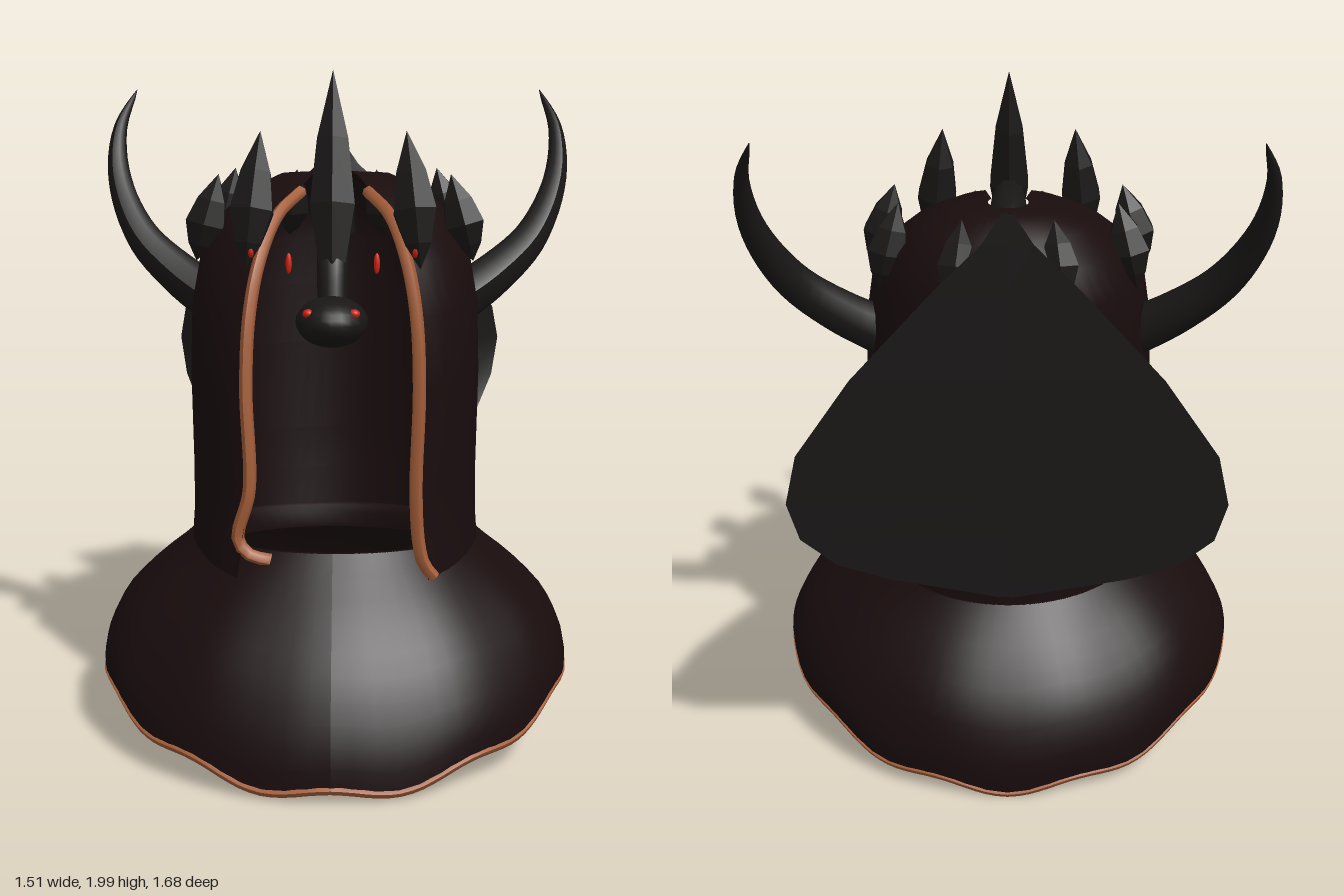
import * as THREE from 'three';

const V = (x, y, z) => new THREE.Vector3(x, y, z);
const mat = (color, flatShading = false) =>
  new THREE.MeshStandardMaterial({ color, flatShading, side: THREE.DoubleSide });

// Sheet of cols x rows cells; fn(u, row) gives each corner, u = 0..1 across
function sheet(cols, rows, fn) {
  const geo = new THREE.PlaneGeometry(1, 1, cols, rows);
  const pos = geo.attributes.position;
  for (let i = 0; i < pos.count; i++) {
    const p = fn((i % (cols + 1)) / cols, Math.floor(i / (cols + 1)));
    pos.setXYZ(i, p.x, p.y, p.z);
  }
  geo.computeVertexNormals();
  return geo;
}

// Tube along points whose radius follows radiusAt(t)
function taperTube(points, segments, sides, radiusAt, closed = false) {
  const curve = new THREE.CatmullRomCurve3(points, closed);
  const geo = new THREE.TubeGeometry(curve, segments, 1, sides, closed);
  const pos = geo.attributes.position;
  const p = V(0, 0, 0);
  for (let i = 0; i < pos.count; i++) {
    const t = Math.floor(i / (sides + 1)) / segments;
    const c = curve.getPointAt(t);
    p.fromBufferAttribute(pos, i).sub(c).multiplyScalar(radiusAt(t)).add(c);
    pos.setXYZ(i, p.x, p.y, p.z);
  }
  geo.computeVertexNormals();
  return geo;
}

export function createModel() {
  const model = new THREE.Group();
  const cloth = mat(0x190c0d);
  const black = mat(0x191716);
  const blackFlat = mat(0x191716, true);
  const copper = mat(0xa65f3a);
  const red = mat(0xd02010);

  const add = (name, geo, material) => {
    const mesh = new THREE.Mesh(geo, material);
    mesh.name = name;
    model.add(mesh);
    return mesh;
  };

  // Hood: [y, half width, back z, front z, half width of the front slit]
  const hoodRows = [
    [1.69, 0.06, -0.17, -0.03, 0.05], [1.685, 0.17, -0.26, 0.08, 0.07],
    [1.64, 0.27, -0.35, 0.2, 0.11], [1.56, 0.36, -0.43, 0.36, 0.18],
    [1.45, 0.415, -0.44, 0.47, 0.215], [1.3, 0.44, -0.445, 0.54, 0.24],
    [1.1, 0.445, -0.45, 0.575, 0.25], [0.8, 0.44, -0.45, 0.575, 0.24],
    [0.66, 0.44, -0.445, 0.585, 0.26], [0.52, 0.45, -0.435, 0.6, 0.28],
  ];
  add('hood', sheet(48, hoodRows.length - 1, (u, r) => {
    const [y, a, zb, zf, g] = hoodRows[r];
    const angle = (u * 2 - 1) * (Math.PI - Math.asin(g / a));
    return V(a * Math.sin(angle), y, (zb + zf) / 2 - ((zf - zb) / 2) * Math.cos(angle));
  }), cloth);

  // Copper piping along both edges of the slit
  const upperEdge = (s) => [
    V(s * 0.1, 1.64, 0.165), V(s * 0.165, 1.575, 0.29), V(s * 0.212, 1.45, 0.405),
    V(s * 0.238, 1.3, 0.462), V(s * 0.247, 1.1, 0.488), V(s * 0.24, 0.8, 0.49),
  ];
  add('rightHoodTrim', taperTube([...upperEdge(-1), V(-0.275, 0.65, 0.475),
    V(-0.24, 0.605, 0.48), V(-0.18, 0.59, 0.48)], 40, 6, () => 0.019), copper);
  add('leftHoodTrim', taperTube([...upperEdge(1), V(0.25, 0.64, 0.48),
    V(0.265, 0.58, 0.48), V(0.295, 0.54, 0.475)], 40, 6, () => 0.019), copper);

  // Mantle flaring from a neck that tips up at the front to a wavy hem
  const neckY = (angle) => 0.575 + 0.04 * Math.cos(angle);
  const mantleRadii = [0.445, 0.49, 0.54, 0.585, 0.625, 0.66, 0.685, 0.705, 0.72, 0.727, 0.725];
  const mantlePoint = (angle, r, k) => {
    const hem = 0.105 - 0.078 * Math.cos(2 * angle) + 0.014 * Math.cos(11 * angle);
    return V(r * Math.sin(angle), THREE.MathUtils.lerp(neckY(angle), hem, k),
      0.03 + 0.06 * k + (r + 0.025) * Math.cos(angle));
  };
  add('mantle', sheet(72, 10,
    (u, r) => mantlePoint(u * Math.PI * 2, mantleRadii[r], r / 10)), cloth);
  const hemPoints = Array.from({ length: 72 }, (_, i) => mantlePoint((i / 72) * Math.PI * 2, 0.713, 1));
  add('hemTrim', taperTube(hemPoints, 144, 6, () => 0.016, true), copper);

  // Turned-in neck rim: [radius, drop below the neck line]
  const rim = [[0.447, 0], [0.415, 0.005], [0.4, 0.03], [0.405, 0.08]];
  add('neckRim', sheet(48, rim.length - 1, (u, r) => {
    const [radius, drop] = rim[r];
    const angle = u * Math.PI * 2;
    return V(radius * Math.sin(angle), neckY(angle) - drop, 0.03 + (radius + 0.025) * Math.cos(angle));
  }), cloth);

  // Back collar: [half width, y, wing tip z, centre z]
  const collarRows = [
    [0.015, 1.78, -0.58, -0.56], [0.07, 1.7, -0.595, -0.555], [0.2, 1.58, -0.63, -0.55],
    [0.42, 1.36, -0.71, -0.53], [0.56, 1.18, -0.8, -0.51], [0.585, 1.06, -0.84, -0.495],
    [0.56, 0.93, -0.79, -0.48], [0.48, 0.78, -0.65, -0.465], [0.35, 0.66, -0.51, -0.46],
    [0.02, 0.57, -0.455, -0.45],
  ];
  add('collarFront', sheet(16, collarRows.length - 1, (u, r) => {
    const [w, y, tip, mid] = collarRows[r];
    const s = u * 2 - 1;
    return V(w * s, y, mid + (tip - mid) * Math.abs(s) ** 1.4);
  }), black);
  // The back panel is shaded as one even plane
  const backPanel = sheet(2, collarRows.length - 1, (u, r) => {
    const [w, y, tip] = collarRows[r];
    return V(w * (1 - u * 2), y, tip);
  });
  const normals = backPanel.attributes.normal;
  for (let i = 0; i < normals.count; i++) normals.setXYZ(i, 0, 0, -1);
  add('collarBack', backPanel, black);

  // Faceted crown leaf running from its base to its tip
  const leaf = (name, base, tip, radius) => {
    const length = base.distanceTo(tip);
    const profile = [[0, 0], [0.6, 0.18], [1, 0.42], [0.7, 0.7], [0, 1]]
      .map(([r, h]) => new THREE.Vector2(r * radius, h * length));
    const mesh = add(name, new THREE.LatheGeometry(profile, 6), blackFlat);
    mesh.position.copy(base);
    mesh.quaternion.setFromUnitVectors(V(0, 1, 0), tip.clone().sub(base).normalize());
  };
  leaf('centreLeaf', V(0, 1.34, 0.55), V(0, 1.99, 0.38), 0.072);

  const redBead = (name, x, y, z, rx, ry, rz) => {
    const mesh = add(name, new THREE.SphereGeometry(1, 10, 8), red);
    mesh.position.set(x, y, z);
    mesh.scale.set(rx, ry, rz);
  };

  for (const s of [-1, 1]) {
    const side = s > 0 ? 'left' : 'right';

    // Horn sweeping out, up and back
    add(side + 'Horn', taperTube([
      V(s * 0.36, 1.27, -0.07), V(s * 0.5, 1.36, -0.13), V(s * 0.63, 1.48, -0.2),
      V(s * 0.715, 1.66, -0.31), V(s * 0.725, 1.82, -0.405), V(s * 0.68, 1.95, -0.505),
    ], 24, 8, (t) => 0.08 * (1 - t) ** 0.75 + 0.001), black);

    // Ring of leaves round the crown
    leaf(side + 'FrontLeaf', V(s * 0.25, 1.43, 0.41), V(s * 0.21, 1.82, 0.32), 0.07);
    leaf(side + 'OuterLeaf', V(s * 0.42, 1.43, 0.13), V(s * 0.35, 1.69, 0.12), 0.068);
    leaf(side + 'SideLeaf', V(s * 0.38, 1.45, -0.175), V(s * 0.32, 1.7, -0.15), 0.066);
    leaf(side + 'RearLeaf', V(s * 0.16, 1.47, -0.385), V(s * 0.13, 1.69, -0.3), 0.06);

    // Red beads inside the slit, beside the front leaves and on the head
    redBead(side + 'InnerBead', s * 0.125, 1.45, 0.44, 0.009, 0.03, 0.008);
    redBead(side + 'OuterBead', s * 0.235, 1.48, 0.39, 0.013, 0.022, 0.04);
    redBead(side + 'SerpentEye', s * 0.062, 1.335, 0.668, 0.016, 0.013, 0.016);
  }

  // Serpent arching out of the crown
  add('serpentNeck', taperTube([
    V(0, 1.5, -0.13), V(0, 1.59, -0.11), V(0, 1.635, -0.02), V(0, 1.64, 0.12),
    V(0, 1.615, 0.28), V(0, 1.56, 0.43), V(0, 1.46, 0.515), V(0, 1.33, 0.56),
  ], 36, 10, (t) => 0.06 - 0.02 * t), black);
  const head = add('serpentHead', new THREE.SphereGeometry(1, 20, 14), black);
  head.position.set(0, 1.305, 0.6);
  head.scale.set(0.1, 0.07, 0.12);

  return model;
}
